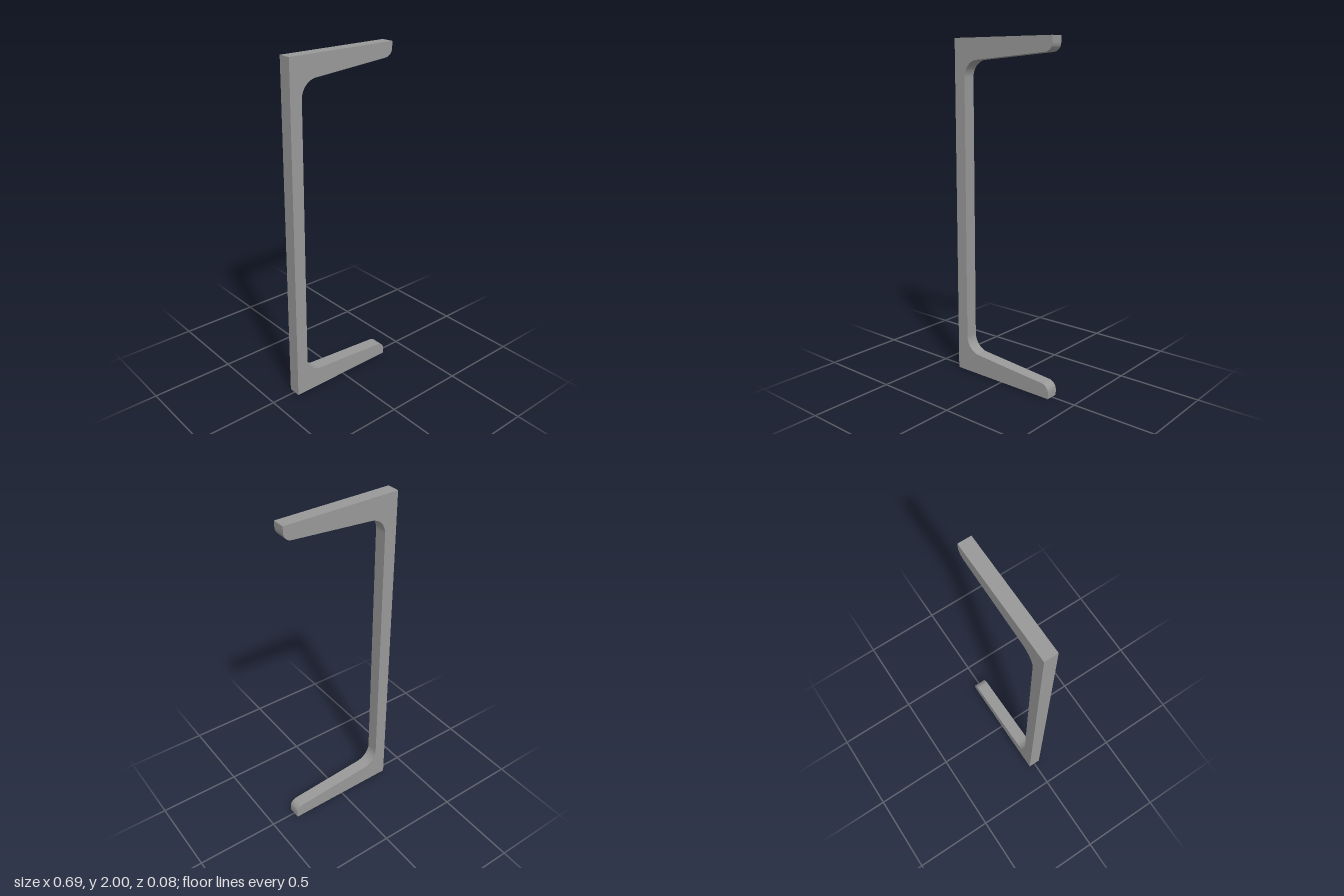
import * as THREE from 'three';
import { toCreasedNormals } from 'three/addons/utils/BufferGeometryUtils.js';

const HALF_WIDTH = 0.345, HEIGHT = 2, DEPTH = 0.076;
const WEB_INNER = -0.272;   // inner face of the web
const ROOT_R = 0.1;         // fillet between web and flange
const TIP_R = 0.05;         // rounding at the flange toe
const TAPER = Math.atan(0.08);

// Channel cross-section: straight web, two tapered flanges
function channelProfile() {
  const tipX = HALF_WIDTH - TIP_R, tipY = 0.034;
  const rootX = WEB_INNER + ROOT_R, rootY = 0.222;
  const slope = Math.PI / 2 - TAPER;

  const s = new THREE.Shape();
  s.moveTo(-HALF_WIDTH, 0);
  s.lineTo(HALF_WIDTH, 0);
  // lower flange: toe, then root fillet
  s.absarc(tipX, tipY, TIP_R, 0, slope, false);
  s.absarc(rootX, rootY, ROOT_R, slope - Math.PI, -Math.PI, true);
  // upper flange: root fillet, then toe
  s.absarc(rootX, HEIGHT - rootY, ROOT_R, Math.PI, Math.PI - slope, true);
  s.absarc(tipX, HEIGHT - tipY, TIP_R, -slope, 0, false);
  s.lineTo(HALF_WIDTH, HEIGHT);
  s.lineTo(-HALF_WIDTH, HEIGHT);
  s.closePath();
  return s;
}

export function createModel() {
  const group = new THREE.Group();
  group.name = 'channelSection';

  const steel = new THREE.MeshStandardMaterial({ color: 0x999999 });
  steel.name = 'steel grey';

  const geometry = new THREE.ExtrudeGeometry(channelProfile(), {
    depth: DEPTH, bevelEnabled: false, curveSegments: 16,
  });
  geometry.translate(0, 0, -DEPTH / 2);

  const channel = new THREE.Mesh(toCreasedNormals(geometry, Math.PI / 6), steel);
  channel.name = 'channelBeam';
  group.add(channel);
  return group;
}
